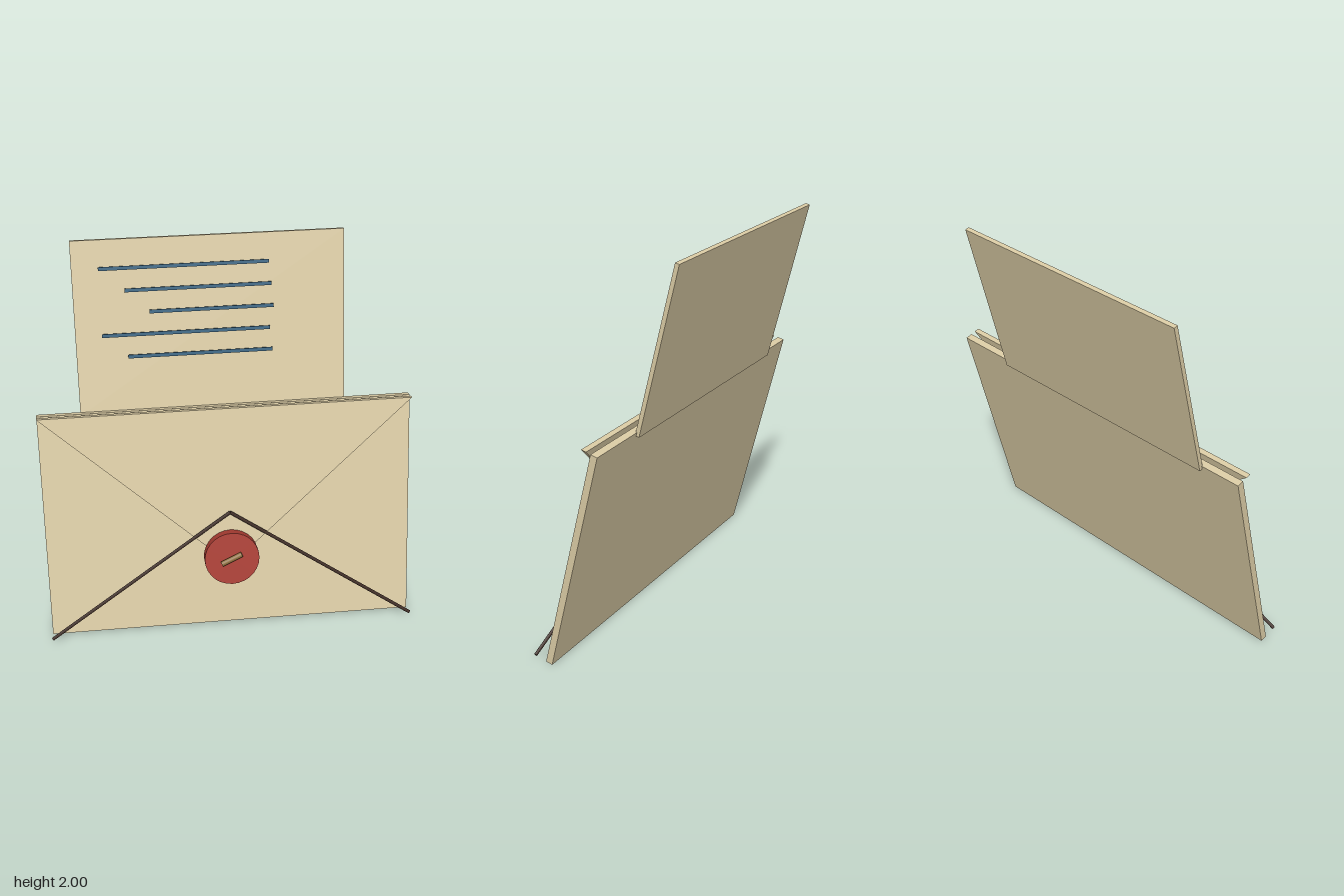
import * as THREE from 'three';

const mat = (name, color) => {
  const m = new THREE.MeshStandardMaterial({ color });
  m.name = name;
  return m;
};

export function createModel() {
  const parchment = mat('parchment', 0xd9caa3);
  const ink = mat('blue ink', 0x2f5f7d);
  const cord = mat('dark brown', 0x3d2a22);
  const wax = mat('red wax', 0xa83c32);
  const brass = mat('brass', 0x8a6a38);

  const root = new THREE.Group();
  root.name = 'envelope';
  // everything leans back together; local y runs up the sheet, local z out of it
  const lean = new THREE.Group();
  lean.name = 'leaningEnvelope';
  lean.position.z = 0.21;
  lean.rotation.x = -0.25;
  root.add(lean);

  const add = (name, geometry, material, x, y, z) => {
    const mesh = new THREE.Mesh(geometry, material);
    mesh.name = name;
    mesh.position.set(x, y, z);
    lean.add(mesh);
    return mesh;
  };

  // envelope back panel and the letter sticking out behind it
  add('envelopeBody', new THREE.BoxGeometry(1.9, 1.2, 0.036), parchment, 0, 0.6, 0.018);
  add('letter', new THREE.BoxGeometry(1.345, 0.883, 0.022), parchment, -0.0575, 1.6215, -0.005);

  // written lines, each with its left and right end
  const lines = [[-0.6, 0.236], [-0.476, 0.246], [-0.36, 0.256], [-0.6, 0.236], [-0.476, 0.246]];
  lines.forEach(([a, b], i) => {
    add('writtenLine', new THREE.BoxGeometry(b - a, 0.018, 0.005), ink, (a + b) / 2, 1.924 - i * 0.111, 0.026);
  });

  // triangular flap
  const triangle = new THREE.Shape();
  triangle.moveTo(-0.95, 1.2);
  triangle.lineTo(0, 0.347);
  triangle.lineTo(0.95, 1.2);
  triangle.closePath();
  add('flap', new THREE.ExtrudeGeometry(triangle, { depth: 0.027, bevelEnabled: false }), parchment, 0, 0, 0.061);

  // two fold cords rising from the bottom corners to the middle
  const rise = 0.643;
  for (const side of [-1, 1]) {
    const bar = add('foldCord', new THREE.CylinderGeometry(0.009, 0.009, Math.hypot(0.95, rise), 8),
      cord, side * 0.475, 0.002 + rise / 2, 0.1);
    bar.rotation.z = side * Math.atan2(0.95, rise);
  }

  // wax seal with a raised mark
  const seal = add('waxSeal', new THREE.CylinderGeometry(0.142, 0.142, 0.055, 28), wax, 0, 0.402, 0.1115);
  seal.rotation.x = Math.PI / 2;
  const mark = add('sealMark', new THREE.CylinderGeometry(0.014, 0.014, 0.115, 10), brass, -0.003, 0.405, 0.152);
  mark.rotation.z = -Math.PI / 2 + 0.42;

  return root;
}
